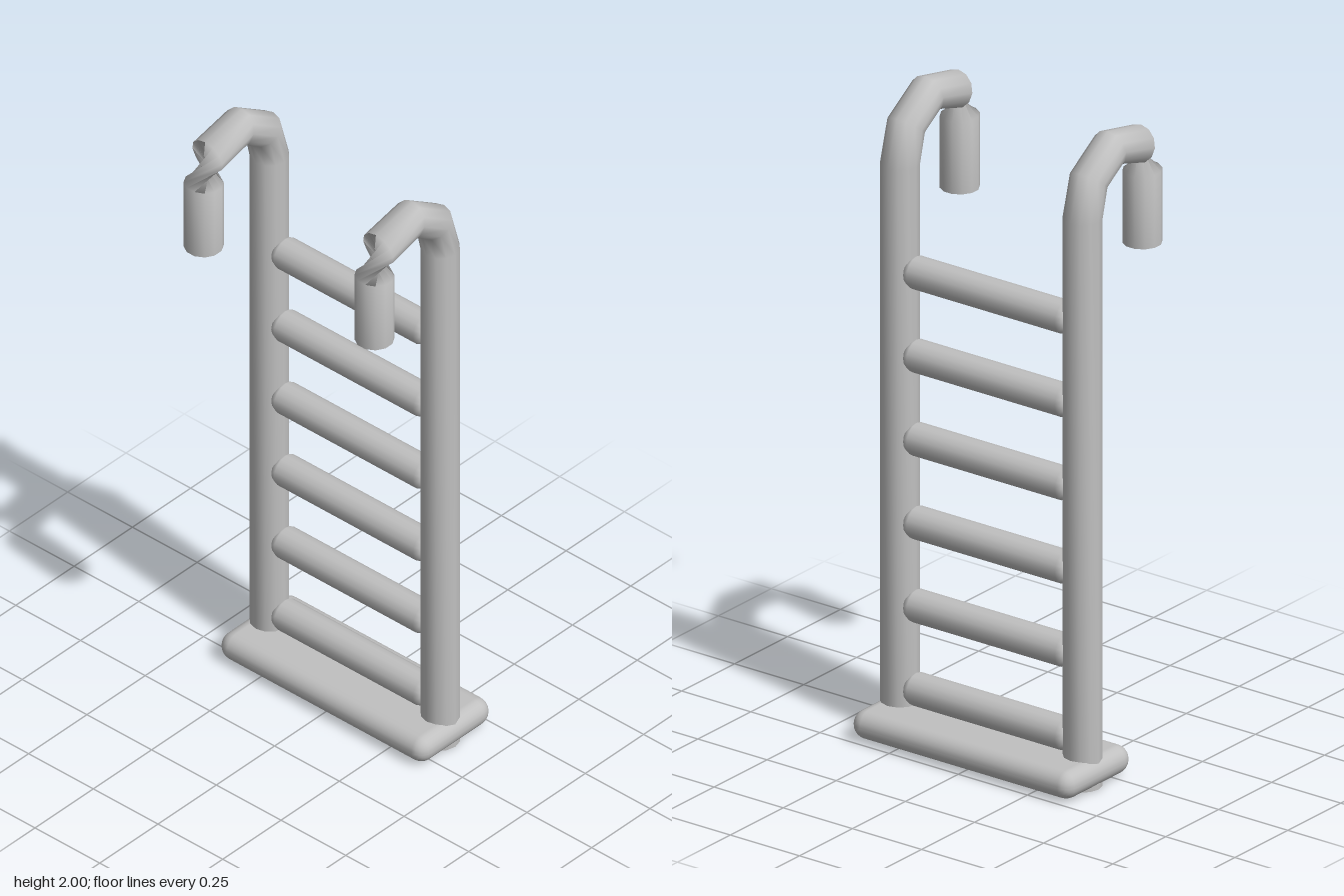
import * as THREE from 'three';
import { RoundedBoxGeometry } from 'three/addons/geometries/RoundedBoxGeometry.js';

const SIDES = 12;
const RAIL_X = 0.33, RAIL_Z = -0.094, RAIL_R = 0.058;

// Rail cross-sections: centre z, y; outer half-axis z, y; roll about the path
const sections = [
  [RAIL_Z, 0, -RAIL_R, 0, 0],
  [RAIL_Z, 1.77, -RAIL_R, 0, 0],
  [-0.065, 1.878, -0.046, 0.034, 0],
  [0.037, 1.945, -0.013, 0.055, 0],
  [0.172, 1.912, 0.01, 0.056, 0],
  [0.188, 1.827, 0.058, 0.004, 165], // half-twisted neck
  [0.188, 1.6, 0.058, 0, 165],
];

// Skin the cross-sections into a tube with flat ends
function railGeometry() {
  const pos = [], index = [];
  const ring = ([cz, cy, nz, ny, roll]) => {
    for (let j = 0; j < SIDES; j++) {
      const a = (j / SIDES) * Math.PI * 2 + THREE.MathUtils.degToRad(roll);
      pos.push(RAIL_R * Math.cos(a), cy + ny * Math.sin(a), cz + nz * Math.sin(a));
    }
  };
  sections.forEach(ring);
  for (let i = 0; i < sections.length - 1; i++) {
    for (let j = 0; j < SIDES; j++) {
      const k = (j + 1) % SIDES;
      const a = i * SIDES + j, b = i * SIDES + k;
      index.push(a, b, a + SIDES, b, b + SIDES, a + SIDES);
    }
  }
  // End caps on their own vertices keep the rims crisp
  [sections[0], sections[sections.length - 1]].forEach((s, end) => {
    const start = pos.length / 3;
    ring(s);
    for (let j = 1; j < SIDES - 1; j++) {
      if (end) index.push(start, start + j, start + j + 1);
      else index.push(start, start + j + 1, start + j);
    }
  });
  const geo = new THREE.BufferGeometry();
  geo.setAttribute('position', new THREE.Float32BufferAttribute(pos, 3));
  geo.setIndex(index);
  geo.computeVertexNormals();
  return geo;
}

// Round bar with softened ends, lying along x
function rungGeometry() {
  const profile = [
    [0, -0.298], [0.025, -0.296], [0.042, -0.286], [0.05, -0.268],
    [0.05, 0.268], [0.042, 0.286], [0.025, 0.296], [0, 0.298],
  ].map(([r, y]) => new THREE.Vector2(r, y));
  return new THREE.LatheGeometry(profile, 16).rotateZ(Math.PI / 2);
}

export function createModel() {
  const model = new THREE.Group();
  model.name = 'ladder';
  const grey = new THREE.MeshStandardMaterial({ color: 0xc0c0c0, side: THREE.DoubleSide });
  grey.name = 'grey';

  const add = (name, geo, x, y, z) => {
    const mesh = new THREE.Mesh(geo, grey);
    mesh.name = name;
    mesh.position.set(x, y, z);
    model.add(mesh);
  };

  // Foot plate
  add('footPlate', new RoundedBoxGeometry(0.8, 0.088, 0.31, 3, 0.043), 0, 0.05, -0.095);

  // Side rails with hooked, twisted ends
  const rail = railGeometry();
  add('leftRail', rail, RAIL_X, 0, 0);
  add('rightRail', rail, -RAIL_X, 0, 0);

  // Rungs
  const rung = rungGeometry();
  for (let i = 0; i < 6; i++) add(`rung${i + 1}`, rung, 0, 0.145 + i * 0.26, -0.095);

  return model;
}
